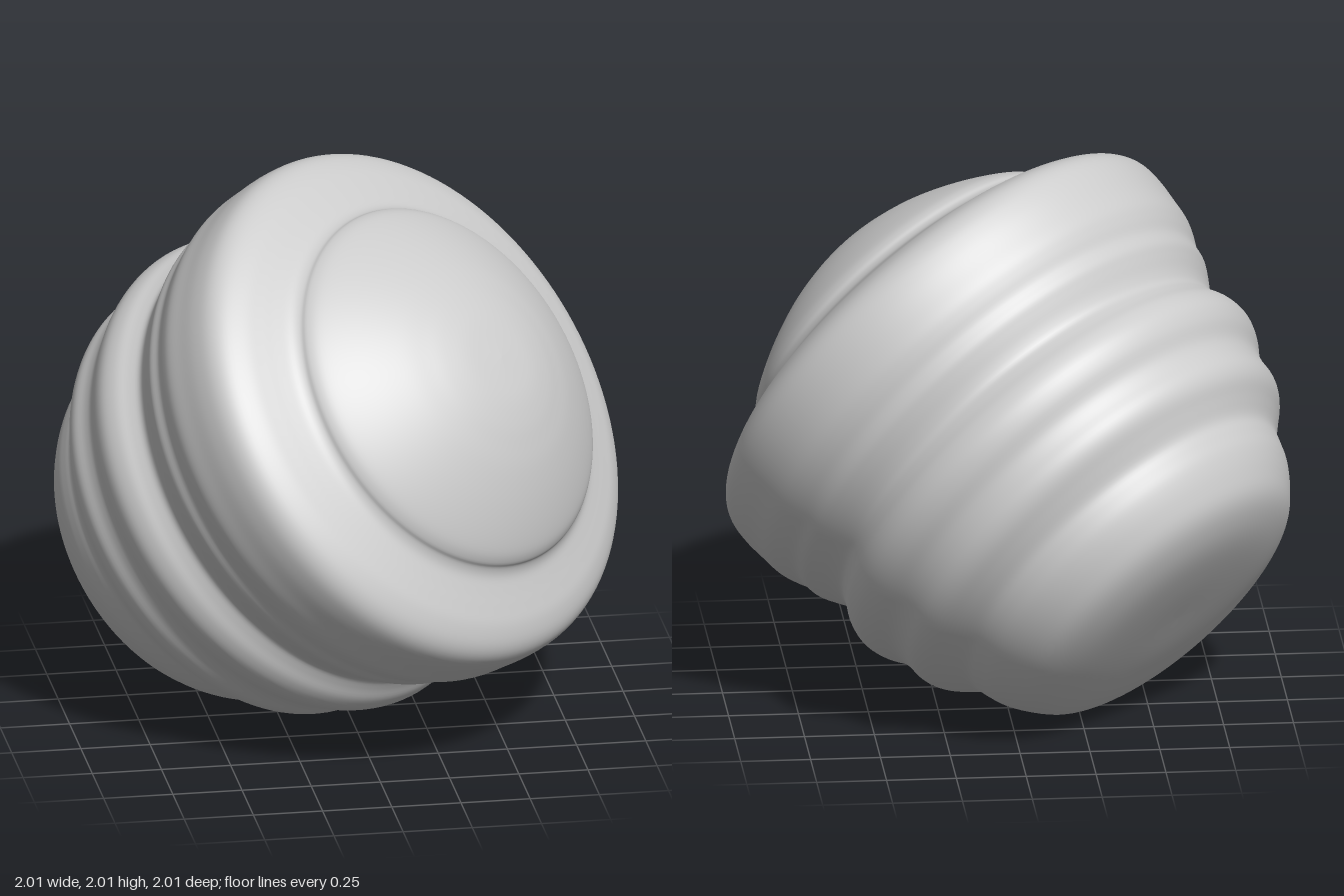
import * as THREE from 'three';

// Rippled body: [distance along the axis, radius], from the blunt tail to the domed nose
const profile = [
  // blunt tail with a rounded rim
  [-1.0, 0], [-1.0, 0.2], [-0.99, 0.37], [-0.965, 0.485], [-0.925, 0.568], [-0.86, 0.628],
  // small ripples
  [-0.79, 0.673], [-0.73, 0.695], [-0.68, 0.712], [-0.63, 0.757], [-0.58, 0.805], [-0.53, 0.828],
  [-0.47, 0.832], [-0.42, 0.845], [-0.36, 0.882], [-0.3, 0.9], [-0.24, 0.892], [-0.19, 0.868],
  // notch, then the widest ridge
  [-0.15, 0.855], [-0.11, 0.868], [-0.06, 0.897], [-0.02, 0.917], [0.03, 0.925], [0.08, 0.948],
  [0.13, 0.965], [0.2, 0.972], [0.28, 0.978], [0.35, 0.971], [0.4, 0.94], [0.44, 0.882],
  // groove and nose
  [0.465, 0.82], [0.485, 0.765], [0.505, 0.717], [0.53, 0.69], [0.555, 0.68], [0.59, 0.65],
  [0.64, 0.583], [0.695, 0.495], [0.745, 0.4], [0.778, 0.32], [0.805, 0.24], [0.826, 0.14], [0.835, 0],
];

export function createModel() {
  const group = new THREE.Group();
  group.name = 'rippledBall';

  // Smooth curve through the profile, turned around the axis
  const curve = new THREE.SplineCurve(profile.map(([s, r]) => new THREE.Vector2(r, s)));
  const points = curve.getPoints(180);
  points.forEach((p) => { p.x = Math.max(p.x, 0); });
  const body = new THREE.Mesh(
    new THREE.LatheGeometry(points, 128),
    new THREE.MeshStandardMaterial({ color: 0xcccccc }),
  );
  body.name = 'rippledBody';

  // Lean the axis equally towards right, top and front
  const axis = new THREE.Vector3(1, 1, 1).normalize();
  body.quaternion.setFromUnitVectors(new THREE.Vector3(0, 1, 0), axis);
  body.position.y = 1;
  group.add(body);
  return group;
}
